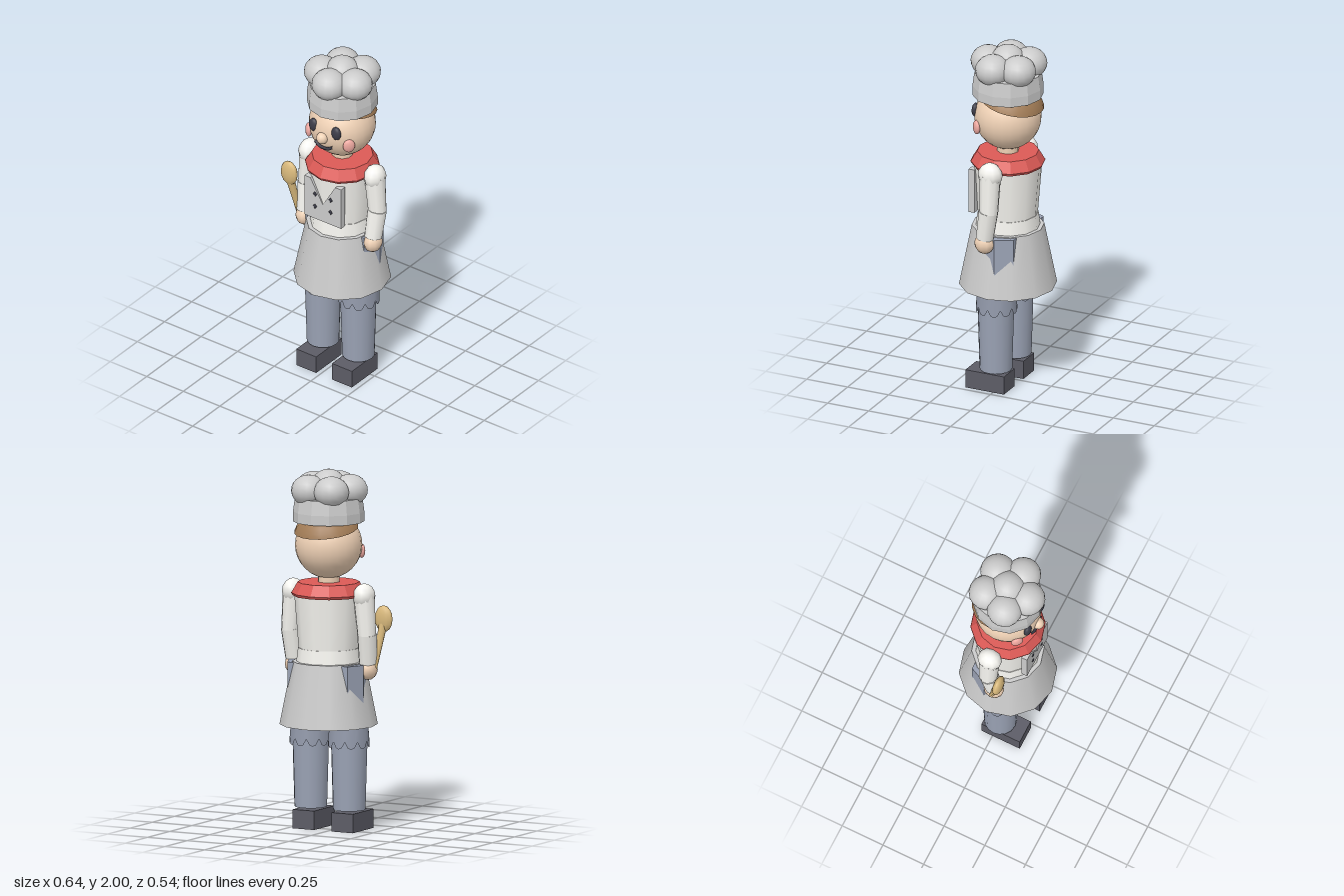
import * as THREE from 'three';

const mat = (color, extra = {}) => new THREE.MeshStandardMaterial({ color, ...extra });
const grey = mat(0xcccccc), greyFlat = mat(0xcccccc, { flatShading: true });
const white = mat(0xf6f5f0), skin = mat(0xf0d2b6), dark = mat(0x3c3c48);
const trousers = mat(0x9aa2b4), trousersFlat = mat(0x9aa2b4, { flatShading: true });
const cuffMat = mat(0x9299aa, { side: THREE.DoubleSide });
const shoe = mat(0x5c5c66), red = mat(0xdc5a56, { flatShading: true });
const pink = mat(0xeda8a0), wood = mat(0xd9b97c), hairMat = mat(0xa27c56, { side: THREE.DoubleSide });

export function createModel() {
  const model = new THREE.Group();
  const body = new THREE.Group();
  body.name = 'chef';
  body.position.x = 0.03; // the spoon makes the figure lopsided
  model.add(body);

  const add = (name, geometry, material, x = 0, y = 0, z = 0) => {
    const mesh = new THREE.Mesh(geometry, material);
    mesh.name = name;
    mesh.position.set(x, y, z);
    body.add(mesh);
    return mesh;
  };
  const ball = (name, material, r, x, y, z, sx = 1, sy = 1, sz = 1, ws = 16, hs = 12) => {
    const mesh = add(name, new THREE.SphereGeometry(r, ws, hs), material, x, y, z);
    mesh.scale.set(sx, sy, sz);
    return mesh;
  };
  // upright cylinder between two heights
  const drum = (name, material, y0, y1, r0, r1, sides = 12, x = 0, z = 0) =>
    add(name, new THREE.CylinderGeometry(r1, r0, y1 - y0, sides), material, x, (y0 + y1) / 2, z);
  // tapered rod between two points
  const rod = (name, material, a, b, ra, rb, sides = 10) => {
    const p = new THREE.Vector3(...a), q = new THREE.Vector3(...b), d = q.clone().sub(p);
    const mesh = add(name, new THREE.CylinderGeometry(rb, ra, d.length(), sides), material);
    mesh.position.copy(p).add(q).multiplyScalar(0.5);
    mesh.quaternion.setFromUnitVectors(new THREE.Vector3(0, 1, 0), d.normalize());
    return mesh;
  };

  // Trunk and apron skirt
  drum('apronSkirt', grey, 0.585, 0.935, 0.27, 0.2);
  drum('waist', white, 0.9, 1.01, 0.182, 0.168);
  drum('jacket', white, 1.01, 1.32, 0.165, 0.19);
  drum('scarfEdge', red, 1.3, 1.315, 0.198, 0.207);
  drum('scarf', red, 1.315, 1.375, 0.205, 0.17);
  drum('neck', skin, 1.36, 1.43, 0.06, 0.06, 10);

  // Hips, whose corners show through the skirt
  const hip = new THREE.Shape();
  [[0.19, 0.125], [0.235, 0.03], [0.2, -0.07], [-0.2, -0.07], [-0.235, 0.03], [-0.19, 0.125]]
    .forEach(([x, y], i) => (i ? hip.lineTo(x, y) : hip.moveTo(x, y)));
  hip.closePath();
  add('hips', new THREE.ExtrudeGeometry(hip, { depth: 0.21, bevelEnabled: false }), trousersFlat, 0, 0.72, 0)
    .rotation.x = -Math.PI / 2;

  // Bib with a V-shaped neckline and four diamond buttons
  const bib = new THREE.Shape();
  [[-0.125, 1.02], [0.125, 1.02], [0.125, 1.275], [0.085, 1.275], [0, 1.13], [-0.085, 1.275], [-0.125, 1.275]]
    .forEach(([x, y], i) => (i ? bib.lineTo(x, y) : bib.moveTo(x, y)));
  bib.closePath();
  add('bib', new THREE.ExtrudeGeometry(bib, { depth: 0.035, bevelEnabled: false }), greyFlat, 0, 0, 0.145);
  for (const x of [-0.053, 0.053]) for (const y of [1.1, 1.18])
    ball('button', dark, 0.017, x, y, 0.18, 0.8, 1, 0.4, 4, 2);

  // Scalloped knee cuff: the lower rim waves up and down
  const cuffGeometry = () => {
    const g = new THREE.CylinderGeometry(0.108, 0.114, 0.11, 40, 1, true);
    const p = g.attributes.position;
    for (let i = 0; i < p.count; i++) if (p.getY(i) < 0) {
      const a = Math.atan2(p.getX(i), p.getZ(i));
      p.setY(i, -0.02 - 0.04 * Math.sqrt(Math.abs(Math.cos(a * 5))));
    }
    g.computeVertexNormals();
    return g;
  };

  for (const s of [-1, 1]) {
    // Leg, cuff and shoe
    drum('leg', trousers, 0.118, 0.75, 0.09, 0.108, 16, s * 0.121, 0.015);
    add('kneeCuff', cuffGeometry(), cuffMat, s * 0.121, 0.525, 0.01);
    add('shoe', new THREE.BoxGeometry(0.135, 0.105, 0.235), shoe, s * 0.122, 0.0525, 0.05);

    // Arm
    ball('shoulder', white, 0.07, s * 0.223, 1.31, 0, 0.85, 1, 1, 10, 8);
    rod('upperArm', white, [s * 0.24, 1.09, 0], [s * 0.222, 1.31, 0], 0.052, 0.06);
    rod('forearm', white, [s * 0.232, 0.935, 0.028], [s * 0.24, 1.1, 0.002], 0.05, 0.055);
    ball('hand', skin, 0.058, s * 0.232, 0.9, 0.03, 0.88, 1, 1, 10, 8);

    // Face, one side
    ball('eye', dark, 0.04, s * 0.077, 1.615, 0.16, 0.75, 1, 0.5);
    ball('cheek', pink, 0.04, s * 0.138, 1.54, 0.125, 0.85, 1, 0.45).rotation.y = s * 0.8;
  }

  // Head
  ball('head', skin, 0.185, 0, 1.58, 0, 1, 1, 1, 24, 16);
  ball('nose', skin, 0.034, 0, 1.57, 0.186, 1, 1, 1, 10, 8);
  const smile = new THREE.CatmullRomCurve3([[-0.06, 1.522, 0.168], [-0.028, 1.505, 0.175],
    [0.028, 1.505, 0.175], [0.06, 1.522, 0.168]].map(v => new THREE.Vector3(...v)));
  add('mouth', new THREE.TubeGeometry(smile, 10, 0.009, 6), dark);
  const hair = add('hair', new THREE.SphereGeometry(0.193, 20, 8, 0, Math.PI * 2, 0, 1.17),
    hairMat, 0, 1.595, -0.012);
  hair.rotation.x = -0.2;

  // Hat: band and puffs
  drum('hatBand', greyFlat, 1.71, 1.765, 0.196, 0.196);
  drum('hatCrown', greyFlat, 1.765, 1.845, 0.196, 0.185);
  for (let i = 0; i < 5; i++) {
    const a = i * Math.PI * 2 / 5;
    ball('hatPuff', grey, 0.098, 0.12 * Math.sin(a), 1.888, 0.12 * Math.cos(a), 1, 0.88, 1);
  }
  ball('hatTopPuff', grey, 0.1, 0, 1.9, 0);

  // Wooden spoon in the right hand
  rod('spoonHandle', wood, [-0.265, 0.88, 0.03], [-0.294, 1.15, 0.088], 0.014, 0.024, 8);
  ball('spoonBowl', wood, 0.074, -0.296, 1.178, 0.09, 0.75, 1, 0.36, 12, 8);

  return model;
}
